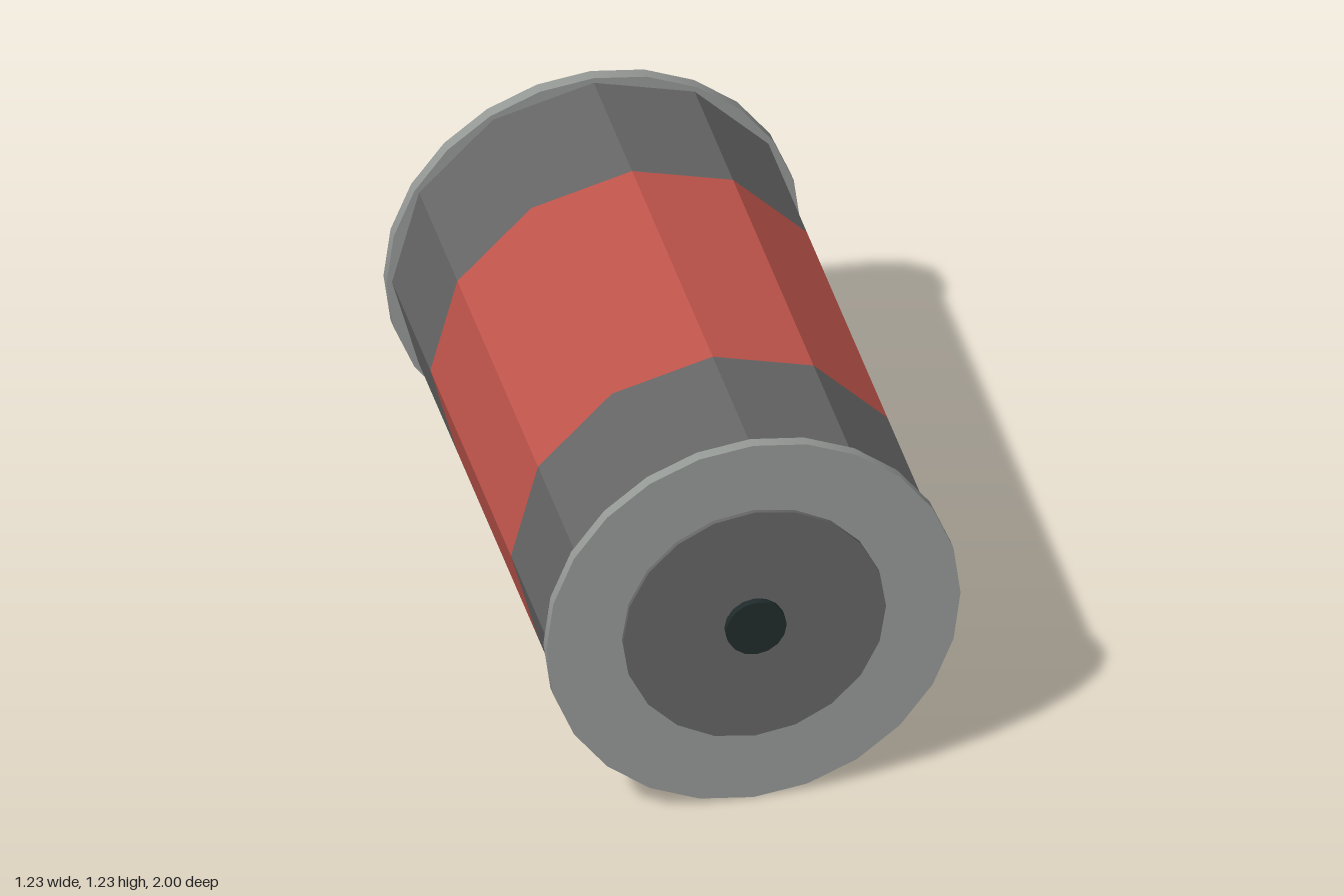
import * as THREE from 'three';

const CENTER_Y = 0.62;

function material(name, color) {
  const m = new THREE.MeshStandardMaterial({ color });
  m.name = name;
  return m;
}

// Cylinder lying along z, from zBack to zFront
function drum(name, mat, radius, zBack, zFront, sides, { faceted = false, open = false } = {}) {
  let geo = new THREE.CylinderGeometry(radius, radius, zFront - zBack, sides, 1, open);
  geo.rotateX(Math.PI / 2);
  if (faceted) {
    geo = geo.toNonIndexed();
    geo.computeVertexNormals();
  }
  const mesh = new THREE.Mesh(geo, mat);
  mesh.name = name;
  mesh.position.set(0, CENTER_Y, (zBack + zFront) / 2);
  return mesh;
}

export function createModel() {
  const casing = material('casing grey', 0x666666);
  const band = material('band red', 0xc0554b);
  const steel = material('cap steel', 0x969a97);
  const dark = material('contact black', 0x202b2b);

  const model = new THREE.Group();
  model.name = 'canister';

  // Twelve-sided body in three flush sections
  const shell = { faceted: true, open: true };
  model.add(
    drum('rearCasing', casing, 0.6, -0.962, -0.5, 12, shell),
    drum('middleBand', band, 0.6, -0.5, 0.472, 12, shell),
    drum('frontCasing', casing, 0.6, 0.472, 0.927, 12, shell)
  );

  // Slightly wider end caps
  model.add(
    drum('rearCap', steel, 0.616, -1, -0.962, 24),
    drum('frontCap', steel, 0.616, 0.927, 0.963, 24)
  );

  // Raised disc and central contact on the front
  model.add(
    drum('frontDisc', casing, 0.391, 0.963, 0.977, 20),
    drum('frontContact', dark, 0.09, 0.977, 1, 16)
  );

  return model;
}
